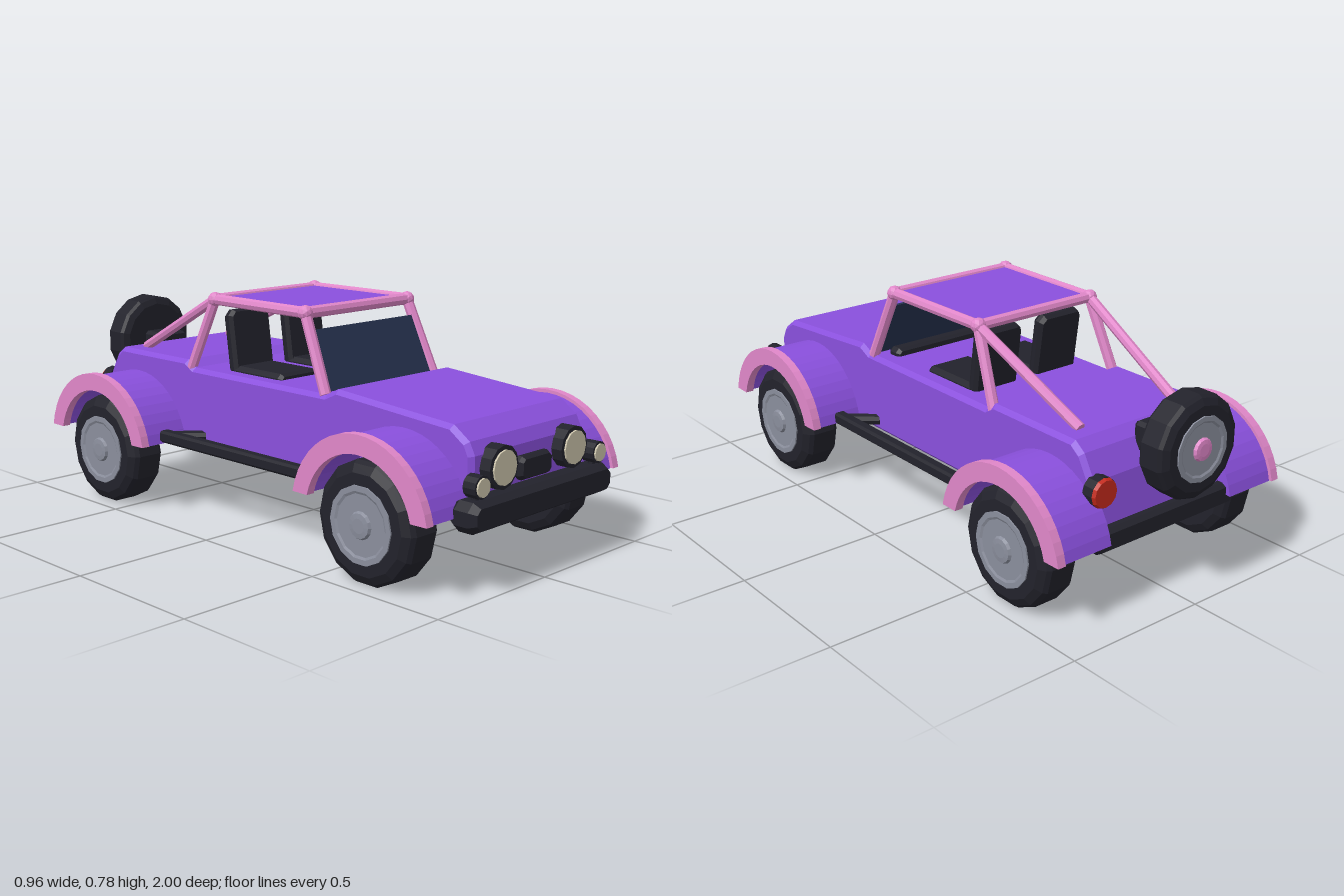
import * as THREE from 'three';

export function createModel() {
  const root = new THREE.Group();
  const mat = (name, color) => {
    const m = new THREE.MeshStandardMaterial({ color, flatShading: true });
    m.name = name;
    return m;
  };
  const purple = mat('purple paint', 0x8a50dd);
  const pink = mat('pink trim', 0xe087c9);
  const black = mat('black plastic', 0x22222b);
  const grey = mat('grey hub', 0x8a8e9c);
  const cream = mat('cream lens', 0xcdc5ac);
  const red = mat('red lens', 0xc42a1c);
  const glass = mat('dark glass', 0x26324f);

  const add = (name, geo, material, x = 0, y = 0, z = 0, parent = root) => {
    const m = new THREE.Mesh(geo, material);
    m.name = name;
    m.position.set(x, y, z);
    parent.add(m);
    return m;
  };
  // outline in the front plane, chamfered on every edge, centred
  const chamferBox = (w, h, d, c) => {
    const a = w / 2, b = h / 2;
    const pts = [[c - a, -b], [a - c, -b], [a, c - b], [a, b - c], [a - c, b], [c - a, b], [-a, b - c], [-a, c - b]];
    const s = new THREE.Shape(pts.map(p => new THREE.Vector2(...p)));
    const k = Math.min(c, d / 3);
    return new THREE.ExtrudeGeometry(s, {
      depth: d - 2 * k, bevelThickness: k, bevelSize: k * 0.6, bevelOffset: -k * 0.6, bevelSegments: 1,
    }).translate(0, 0, k - d / 2);
  };
  // straight bar between two points
  const bar = (name, a, b, r, material) => {
    const p = new THREE.Vector3(...a), q = new THREE.Vector3(...b);
    const dir = q.clone().sub(p);
    const m = add(name, new THREE.CylinderGeometry(r, r, dir.length(), 8), material);
    m.position.copy(p).add(q).multiplyScalar(0.5);
    m.quaternion.setFromUnitVectors(new THREE.Vector3(0, 1, 0), dir.normalize());
  };

  // body: side profile (z, y) extruded across the width with chamfered edges
  const profile = [
    [0.91, 0.235], [0.93, 0.27], [0.93, 0.42], [0.91, 0.46], [0.85, 0.502], [0.38, 0.538], [0.33, 0.514],
    [-0.32, 0.514], [-0.36, 0.538], [-0.73, 0.538], [-0.77, 0.508], [-0.815, 0.43], [-0.835, 0.27], [-0.82, 0.235],
  ];
  const bodyShape = new THREE.Shape(profile.map(([z, y]) => new THREE.Vector2(-z, y)));
  const bodyGeo = new THREE.ExtrudeGeometry(bodyShape, {
    depth: 0.53, bevelThickness: 0.015, bevelSize: 0.015, bevelOffset: -0.015, bevelSegments: 1,
  }).translate(0, 0, -0.265).rotateY(Math.PI / 2);
  add('body', bodyGeo, purple);

  // wheels: closed tyre, hub dish and cap along the y axis
  const makeWheel = (name, r, half, capMaterial) => {
    const g = new THREE.Group();
    g.name = name;
    const lathe = pts => new THREE.LatheGeometry(pts.map(p => new THREE.Vector2(...p)), 14);
    add('tyre', lathe([
      [0, -half], [r * 0.82, -half], [r * 0.95, -half * 0.8], [r, -half * 0.6],
      [r, half * 0.6], [r * 0.95, half * 0.8], [r * 0.82, half], [0, half],
    ]), black, 0, 0, 0, g);
    add('hub', lathe([
      [r * 0.63, half - 0.01], [r * 0.63, half + 0.005], [r * 0.54, half + 0.005], [r * 0.5, half + 0.001], [0, half + 0.001],
    ]), grey, 0, 0, 0, g);
    add('hubCap', lathe([[r * 0.23, half], [r * 0.2, half + 0.01], [r * 0.12, half + 0.012], [0, half + 0.012]]),
      capMaterial, 0, 0, 0, g);
    root.add(g);
    return g;
  };

  // fender arches
  const arch = (inner, outer, depth) => {
    const s = new THREE.Shape();
    s.absarc(0, 0, outer, 0.19, Math.PI - 0.19, false);
    s.absarc(0, 0, inner, Math.PI - 0.24, 0.24, true);
    return new THREE.ExtrudeGeometry(s, { depth, bevelEnabled: false, curveSegments: 10 })
      .translate(0, 0, -depth / 2).rotateY(Math.PI / 2);
  };

  for (const s of [1, -1]) {
    const side = s > 0 ? 'left' : 'right';
    for (const [end, z] of [['Front', 0.665], ['Rear', -0.63]]) {
      const w = makeWheel(side + end + 'Wheel', 0.195, 0.071, grey);
      w.rotation.z = -s * Math.PI / 2;
      w.position.set(s * 0.39, 0.197, z);
      add(side + end + 'Fender', arch(0.225, 0.265, 0.19), purple, s * 0.355, 0.2, z);
      add(side + end + 'FenderTrim', arch(0.215, 0.276, 0.03), pink, s * 0.465, 0.2, z);
    }

    // side step and its struts
    add(side + 'Step', chamferBox(0.042, 0.042, 0.78, 0.008), black, s * 0.37, 0.276, 0.01);
    bar(side + 'FrontStrut', [s * 0.37, 0.276, 0.375], [s * 0.27, 0.276, 0.285], 0.02, black);
    bar(side + 'RearStrut', [s * 0.37, 0.276, -0.355], [s * 0.27, 0.276, -0.265], 0.02, black);

    // roll cage
    const front = [s * 0.245, 0.76, 0.21], rear = [s * 0.24, 0.76, -0.24];
    bar(side + 'WindscreenPillar', [s * 0.262, 0.51, 0.32], front, 0.019, pink);
    bar(side + 'RoofRail', front, rear, 0.019, pink);
    bar(side + 'RearPillar', rear, [s * 0.262, 0.51, -0.345], 0.019, pink);
    bar(side + 'RearBrace', rear, [s * 0.2, 0.54, -0.68], 0.018, pink);
    for (const p of [front, rear]) add(side + 'CageJoint', new THREE.IcosahedronGeometry(0.026, 1), pink, ...p);

    // seat
    add(side + 'SeatCushion', chamferBox(0.18, 0.05, 0.25, 0.015), black, s * 0.13, 0.508, -0.06);
    const back = add(side + 'SeatBack', chamferBox(0.18, 0.23, 0.045, 0.02), black, s * 0.13, 0.61, -0.19);
    back.rotation.x = -0.14;

    // lamps: dark rim with a raised lens
    const lamp = (name, x, y, z, r, d, dir, lens) => {
      add(name + 'Rim', new THREE.CylinderGeometry(r, r, d, 12).rotateX(Math.PI / 2), black, x, y, z);
      add(name + 'Lens', new THREE.CylinderGeometry(r * 0.8, r * 0.8, 0.008, 12).rotateX(Math.PI / 2),
        lens, x, y, z + dir * (d / 2 + 0.002));
    };
    lamp(side + 'Headlight', s * 0.176, 0.378, 0.943, 0.068, 0.05, 1, cream);
    lamp(side + 'FogLight', s * 0.293, 0.343, 0.96, 0.036, 0.045, 1, cream);
    bar(side + 'FogLightBracket', [s * 0.293, 0.34, 0.955], [s * 0.293, 0.28, 0.955], 0.012, black);
    add(side + 'TailLightBase', new THREE.CylinderGeometry(0.05, 0.05, 0.04, 12).rotateX(Math.PI / 2),
      black, s * 0.25, 0.4, -0.82);
    add(side + 'TailLightLens', new THREE.CylinderGeometry(0.05, 0.044, 0.012, 12).rotateX(Math.PI / 2),
      red, s * 0.25, 0.4, -0.845);
  }

  // cage cross bars and roof panel
  bar('frontRoofBar', [-0.245, 0.76, 0.21], [0.245, 0.76, 0.21], 0.02, pink);
  bar('rearRoofBar', [-0.24, 0.76, -0.24], [0.24, 0.76, -0.24], 0.019, pink);
  add('roofPanel', new THREE.BoxGeometry(0.47, 0.012, 0.45), purple, 0, 0.762, -0.015);

  // windscreen and dashboard
  const screen = add('windscreen', new THREE.BoxGeometry(0.49, 0.205, 0.008), glass, 0, 0.612, 0.278);
  screen.rotation.x = -0.4;
  add('dashboard', chamferBox(0.44, 0.05, 0.06, 0.015), black, 0, 0.515, 0.265);

  // bumpers, skid plate and grille
  add('frontBumper', chamferBox(0.7, 0.095, 0.1, 0.025), black, 0, 0.255, 0.95);
  add('skidPlate', new THREE.BoxGeometry(0.5, 0.03, 0.08), black, 0, 0.225, 0.87);
  add('grille', chamferBox(0.156, 0.074, 0.04, 0.015), black, 0, 0.35, 0.94);
  add('rearBumper', chamferBox(0.61, 0.075, 0.055, 0.02), black, 0, 0.25, -0.845);

  // spare wheel on its mount
  add('spareMount', chamferBox(0.12, 0.1, 0.12, 0.012), black, 0, 0.508, -0.825);
  const spare = makeWheel('spareWheel', 0.167, 0.056, pink);
  spare.rotation.x = -Math.PI / 2;
  spare.position.set(0, 0.522, -0.932);

  return root;
}
